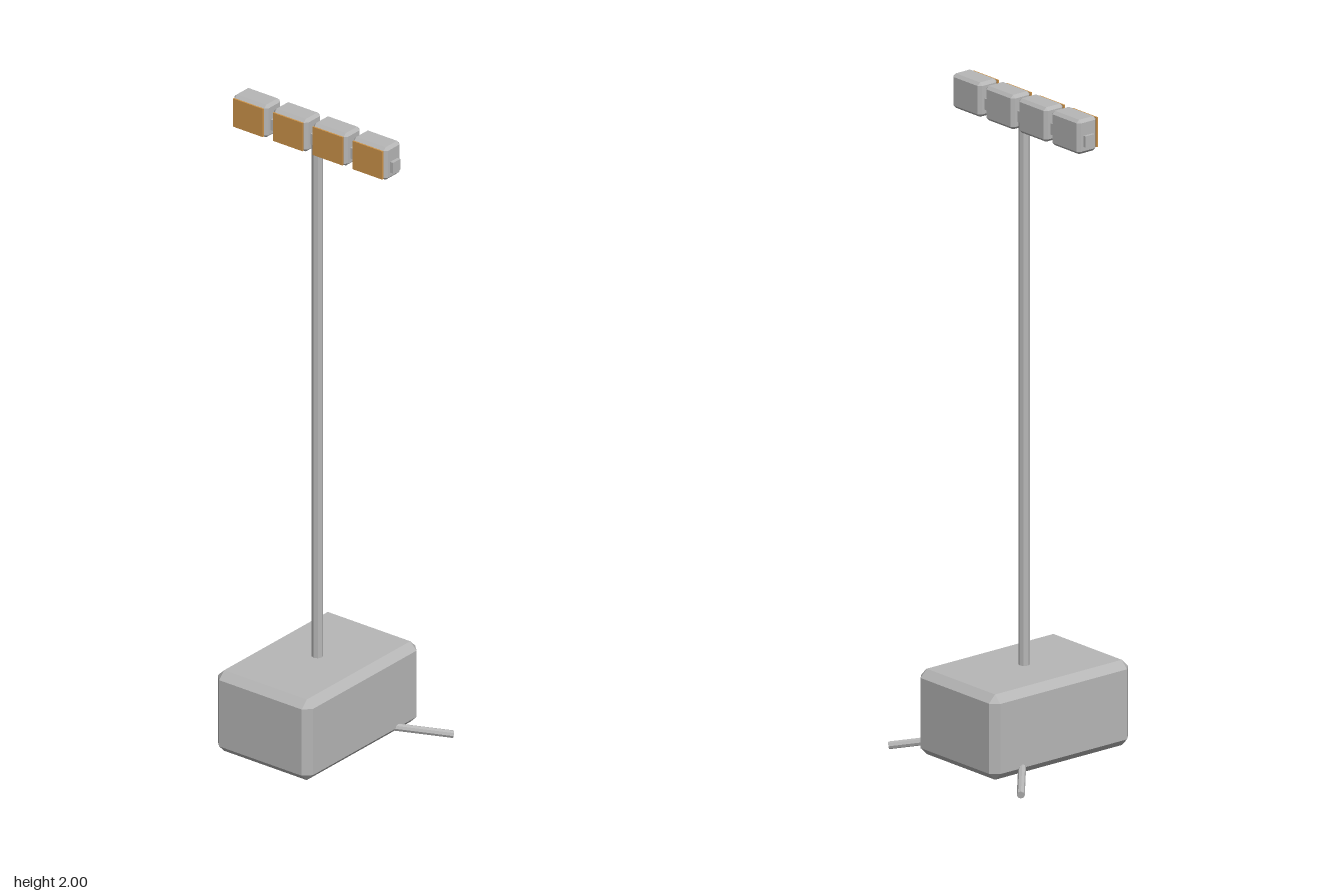
import * as THREE from 'three';
import { ConvexGeometry } from 'three/addons/geometries/ConvexGeometry.js';

// Box with every edge and corner cut flat
function chamferBox(w, h, d, c) {
  const points = [];
  for (const sx of [-1, 1]) for (const sy of [-1, 1]) for (const sz of [-1, 1]) {
    const x = w / 2, y = h / 2, z = d / 2;
    points.push(
      new THREE.Vector3(sx * x, sy * (y - c), sz * (z - c)),
      new THREE.Vector3(sx * (x - c), sy * y, sz * (z - c)),
      new THREE.Vector3(sx * (x - c), sy * (y - c), sz * z)
    );
  }
  return new ConvexGeometry(points);
}

export function createModel() {
  const model = new THREE.Group();
  model.name = 'floodlightTower';
  const grey = new THREE.MeshStandardMaterial({ color: 0xb6b6b6, flatShading: true });
  grey.name = 'grey metal';
  const amber = new THREE.MeshStandardMaterial({ color: 0xcd944a, flatShading: true });
  amber.name = 'amber lamp glass';
  const zMid = 0.003;

  function add(name, geometry, material, x, y, z) {
    const mesh = new THREE.Mesh(geometry, material);
    mesh.name = name;
    mesh.position.set(x, y, z);
    model.add(mesh);
    return mesh;
  }

  // Generator body and mast
  add('base', chamferBox(0.348, 0.258, 0.523, 0.023), grey, 0, 0.148, zMid);
  add('mast', new THREE.CylinderGeometry(0.017, 0.017, 1.69, 8), grey, 0, 1.105, zMid);

  // Stabiliser legs, splayed out to the back
  for (const side of [-1, 1]) {
    const start = new THREE.Vector3(side * 0.15, 0.046, -0.132);
    const end = new THREE.Vector3(side * 0.291, 0.014, -0.258);
    const along = end.clone().sub(start);
    const leg = add(side > 0 ? 'leftLeg' : 'rightLeg',
      new THREE.CylinderGeometry(0.0115, 0.0115, along.length(), 8), grey, 0, 0, 0);
    leg.position.copy(start).add(end).multiplyScalar(0.5);
    leg.quaternion.setFromUnitVectors(new THREE.Vector3(0, 1, 0), along.normalize());
  }

  // Lamp bar with four floodlights
  add('crossbar', new THREE.BoxGeometry(0.582, 0.034, 0.034), grey, 0, 1.935, zMid);
  const housing = chamferBox(0.125, 0.104, 0.071, 0.009);
  const glass = new THREE.BoxGeometry(0.109, 0.09, 0.005);
  for (let i = 0; i < 4; i++) {
    const x = (i - 1.5) * 0.1457 - 0.001;
    add('lampHousing' + (i + 1), housing, grey, x, 1.948, zMid);
    add('lampGlass' + (i + 1), glass, amber, x, 1.948, 0.0437);
  }
  return model;
}
